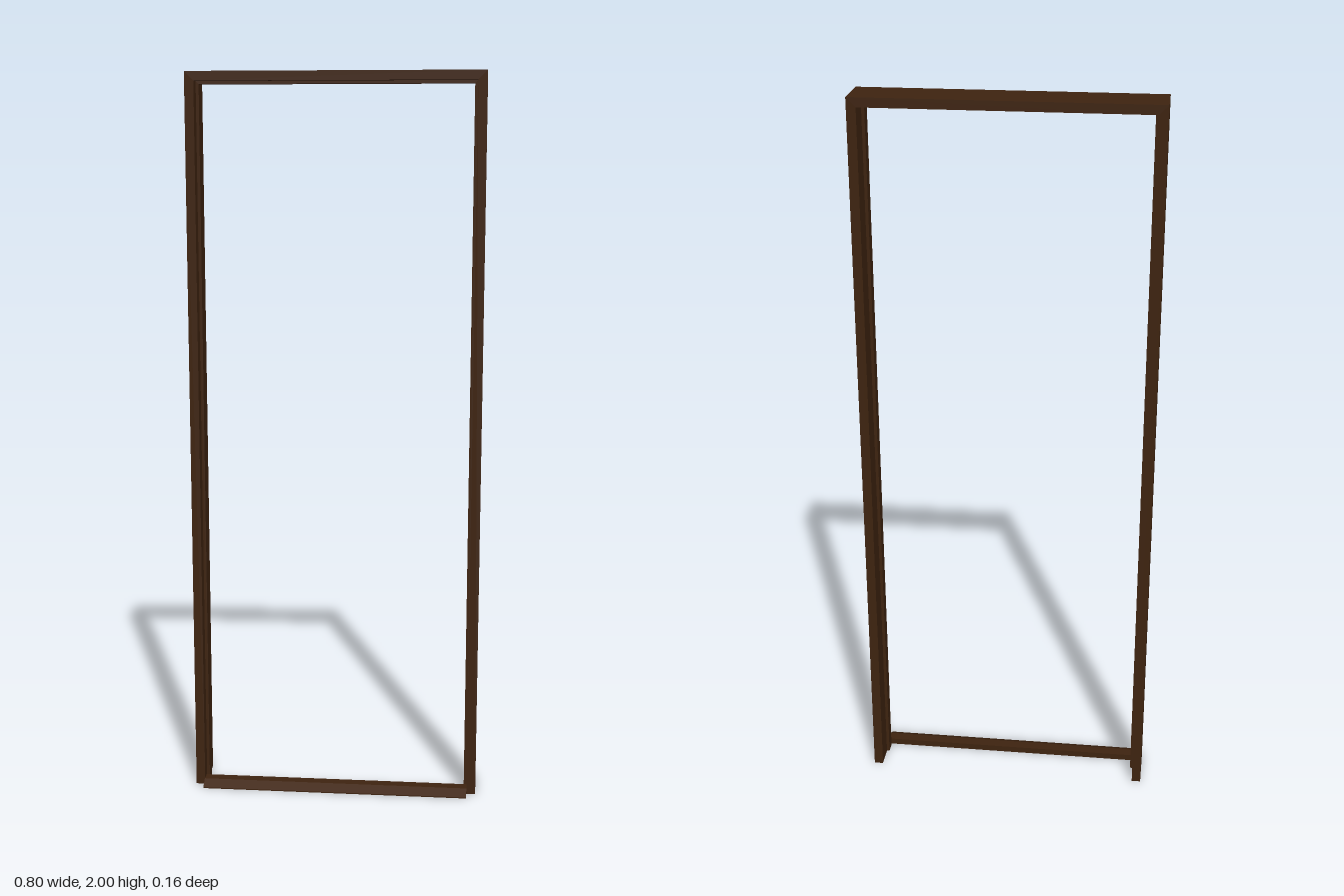
import * as THREE from 'three';

const darkWood = new THREE.MeshStandardMaterial({ color: 0x3f2410 });
darkWood.name = 'darkWood';

// Three-sided arch (two legs and a head) with square edges, extruded along z
function arch(name, outerX, outerY, innerX, innerY, zBack, zFront) {
  const shape = new THREE.Shape([
    [-outerX, 0], [-innerX, 0], [-innerX, innerY], [innerX, innerY],
    [innerX, 0], [outerX, 0], [outerX, outerY], [-outerX, outerY],
  ].map(([x, y]) => new THREE.Vector2(x, y)));
  const geometry = new THREE.ExtrudeGeometry(shape, { depth: zFront - zBack, bevelEnabled: false });
  geometry.translate(0, 0, zBack);
  const mesh = new THREE.Mesh(geometry, darkWood);
  mesh.name = name;
  return mesh;
}

export function createModel() {
  const group = new THREE.Group();
  group.name = 'doorFrame';

  // Jambs and head
  group.add(arch('jambsAndHead', 0.4, 2, 0.375, 1.975, -0.08, 0.048));

  // Raised strip that the door closes against
  group.add(arch('doorStop', 0.376, 1.976, 0.367, 1.967, -0.016, 0.016));

  // Threshold with a sloped front, profile given as (z, y) and swept along x
  const profile = new THREE.Shape([
    [0.022, 0], [0.08, 0], [0.08, 0.003], [0.052, 0.018], [0.022, 0.018],
  ].map(([z, y]) => new THREE.Vector2(-z, y)).reverse());
  const sill = new THREE.ExtrudeGeometry(profile, { depth: 0.75, bevelEnabled: false });
  sill.rotateY(Math.PI / 2);
  sill.translate(-0.375, 0, 0);
  const threshold = new THREE.Mesh(sill, darkWood);
  threshold.name = 'threshold';
  group.add(threshold);

  return group;
}
